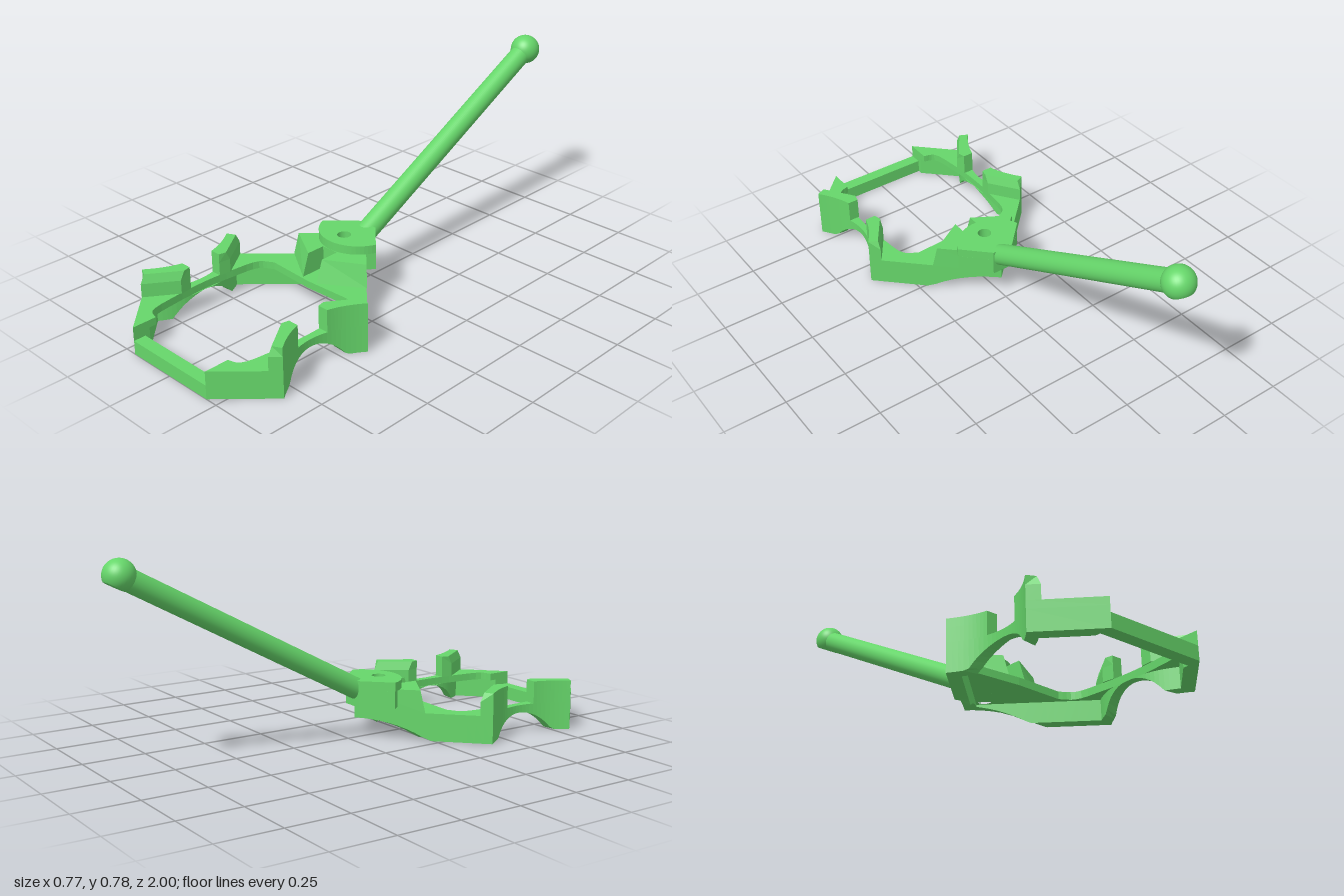
import * as THREE from 'three';

const green = new THREE.MeshStandardMaterial({ color: 0x66d66a });
green.name = 'green plastic';

const DECK_LOW = 0.08, DECK_TOP = 0.11, POST_TOP = 0.2, PIN_Z = 0.145;
const mirrorX = pts => pts.map(([x, z]) => [-x, z]).reverse();
// hollowed side of the outline, as x for a given z
const waistX = z => 0.306 + 0.079 * ((z - 0.6125) / 0.2025) ** 2;
const waist = (z0, z1, n) => Array.from({ length: n + 1 }, (_, i) => {
  const z = z0 + (z1 - z0) * i / n;
  return [waistX(z), z];
});

// underside: round arch below each waist, quarter arch below the back corner
function bottomY(z) {
  if (z < 0.235) return DECK_LOW - 0.303 + Math.sqrt(0.303 ** 2 - Math.max(0, z - 0.03) ** 2);
  const d = Math.abs(z - 0.6145);
  return d < 0.14 ? Math.max(0, DECK_LOW - 0.1625 + Math.sqrt(0.1625 ** 2 - d * d)) : 0;
}

// upright prism over a plan outline of [x, z] points
function prism(points, y0, y1, holes = []) {
  const shape = new THREE.Shape(points.map(p => new THREE.Vector2(...p)));
  shape.holes = holes;
  const geo = new THREE.ExtrudeGeometry(shape, { depth: y1 - y0, bevelEnabled: false, curveSegments: 24 });
  return geo.rotateX(Math.PI / 2).translate(0, y1, 0);
}

// move the top corners of a prism by a rule, for sloping faces
function slopeTop(geo, topY, rule) {
  const p = geo.attributes.position;
  for (let i = 0; i < p.count; i++) {
    if (Math.abs(p.getY(i) - topY) > 1e-4) continue;
    const [x, z] = rule(p.getX(i), p.getZ(i));
    p.setXYZ(i, x, topY, z);
  }
  geo.computeVertexNormals();
  return geo;
}

// wall lofted between an outer and an inner path, with the arched underside
function wallGeometry(outer, inner) {
  const sections = outer.map(([x, z], i) => {
    const [u, w] = inner[i];
    return [[x, bottomY(z), z], [x, DECK_LOW, z], [u, DECK_LOW, w], [u, bottomY(w), w]];
  });
  const v = [];
  const quad = (a, b, c, d) => v.push(...a, ...b, ...c, ...a, ...c, ...d);
  for (let i = 0; i + 1 < sections.length; i++) {
    const s = sections[i], t = sections[i + 1];
    for (let k = 0; k < 4; k++) {
      const m = (k + 1) % 4;
      quad(s[k], t[k], t[m], s[m]);
    }
  }
  quad(...sections[0]);
  quad(...sections[sections.length - 1].slice().reverse());
  const geo = new THREE.BufferGeometry();
  geo.setAttribute('position', new THREE.Float32BufferAttribute(v, 3));
  geo.computeVertexNormals();
  return geo;
}

function pinHole() {
  return new THREE.Path().absarc(0, PIN_Z, 0.027, 0, Math.PI * 2, true);
}

function add(parent, name, geo) {
  const mesh = new THREE.Mesh(geo, green);
  mesh.name = name;
  parent.add(mesh);
  return mesh;
}

export function createModel() {
  const model = new THREE.Group();
  model.name = 'handledFrame';

  // flat deck, open at the front
  const side = waist(0.815, 0.41, 24);
  const outerHalf = [[0.2, 1], ...side];
  const bore = new THREE.CatmullRomCurve3(
    [[0.2, 0.9], [0.243, 0.882], [0.268, 0.76], [0.277, 0.61], [0.27, 0.48], [0.25, 0.365], [0.2, 0.33]]
      .map(([x, z]) => new THREE.Vector3(x, 0, z))).getPoints(24).map(p => [p.x, p.z]);
  const slot = new THREE.Path([[-0.03, 0.22], [-0.03, 0.238], [0.03, 0.238], [0.03, 0.22]]
    .map(p => new THREE.Vector2(...p)));
  add(model, 'deck', prism([...outerHalf, [0, 0.03], ...mirrorX(outerHalf),
    ...mirrorX(bore.slice().reverse()), [0, 0.34], ...bore.slice().reverse()],
  DECK_LOW, DECK_TOP, [pinHole(), slot]));

  // low bar closing the front
  add(model, 'frontBar', new THREE.BoxGeometry(0.4, 0.055, 0.05).translate(0, 0.0275, 0.975));

  // one side: skirt wall and two clip posts
  const half = new THREE.Group();
  half.name = 'leftSide';
  const outer = [[0.2, 1], ...side], inner = [[0.2, 0.93], ...side.map(([x, z]) => {
    const k = Math.abs(z - 0.6125) / 0.2025;
    return [x - 0.032 - 0.028 * k, z - 0.01 * (z - 0.6125) / 0.2025];
  })];
  for (let i = 1; i <= 16; i++) {
    const t = i / 16;
    outer.push([0.385 * (1 - t), 0.41 - 0.38 * t]);
    inner.push([0.325 * (1 - t), 0.42 - 0.32 * t]);
  }
  add(half, 'skirtWall', wallGeometry(outer, inner));

  const postPlan = [[0.35, 0.85], [0.266, 0.73], [0.272, 0.682], ...waist(0.682, 0.815, 10)];
  for (const [name, flip] of [['frontPost', false], ['backPost', true]]) {
    const plan = postPlan.map(([x, z]) => [x, flip ? 1.225 - z : z]);
    const step = flip ? 0.018 : -0.018;
    const onFace = (x, z) => plan.slice(0, 2).some(p => Math.hypot(p[0] - x, p[1] - z) < 1e-4);
    add(half, name, prism(plan, DECK_TOP, 0.165));
    add(half, name + 'Lip', slopeTop(prism(plan, 0.165, POST_TOP), POST_TOP,
      (x, z) => onFace(x, z) ? [x, z + step] : [x, z]));
  }
  const other = half.clone();
  other.name = 'rightSide';
  other.scale.x = -1;
  model.add(half, other);

  // raised hub with sloping front faces and a central channel
  const hubHalf = [[0.037, 0.222], [0.037, 0.33], [0.2, 0.225]];
  add(model, 'hub', slopeTop(prism([...hubHalf, [0, 0.03], ...mirrorX(hubHalf)],
    DECK_TOP, POST_TOP, [pinHole()]), POST_TOP, (x, z) => {
    if (z > 0.3) return [x, 0.3];
    return Math.abs(x) > 0.1 && z > 0.2 ? [Math.sign(x) * 0.185, 0.212] : [x, z];
  }));

  // pivot plate: wedge at the back, rounded at the front
  const arc = Array.from({ length: 25 }, (_, i) => {
    const a = 0.36 + (Math.PI - 0.72) * i / 24;
    return [0.155 * Math.cos(a), 0.066 + 0.155 * Math.sin(a)];
  });
  add(model, 'pivotPlate', prism([[0.045, 0.02], ...arc, [-0.045, 0.02]], POST_TOP, 0.235, [pinHole()]));
  add(model, 'pivotBlock', prism([[0.045, 0.02], [0.145, 0.12], [0.12, 0.15],
    [0, 0.19], [-0.12, 0.15], [-0.145, 0.12], [-0.045, 0.02]], 0.13, POST_TOP, [pinHole()]));

  // slanted handle, built along local z from the ball
  const handle = new THREE.Group();
  handle.name = 'handle';
  handle.position.set(0, 0.717, -0.94);
  handle.rotation.x = 0.49;
  const length = 1.11;
  add(handle, 'rod', new THREE.CylinderGeometry(0.042, 0.042, length, 40)
    .rotateX(Math.PI / 2).translate(0, 0, length / 2));
  // ball with a flat underside
  const cut = Math.acos(-0.72), r = 0.06;
  add(handle, 'ball', new THREE.SphereGeometry(r, 40, 24, 0, Math.PI * 2, 0, cut));
  add(handle, 'ballFlat', new THREE.CircleGeometry(r * Math.sin(cut), 40)
    .rotateX(Math.PI / 2).translate(0, -0.72 * r, 0));
  model.add(handle);

  return model;
}
